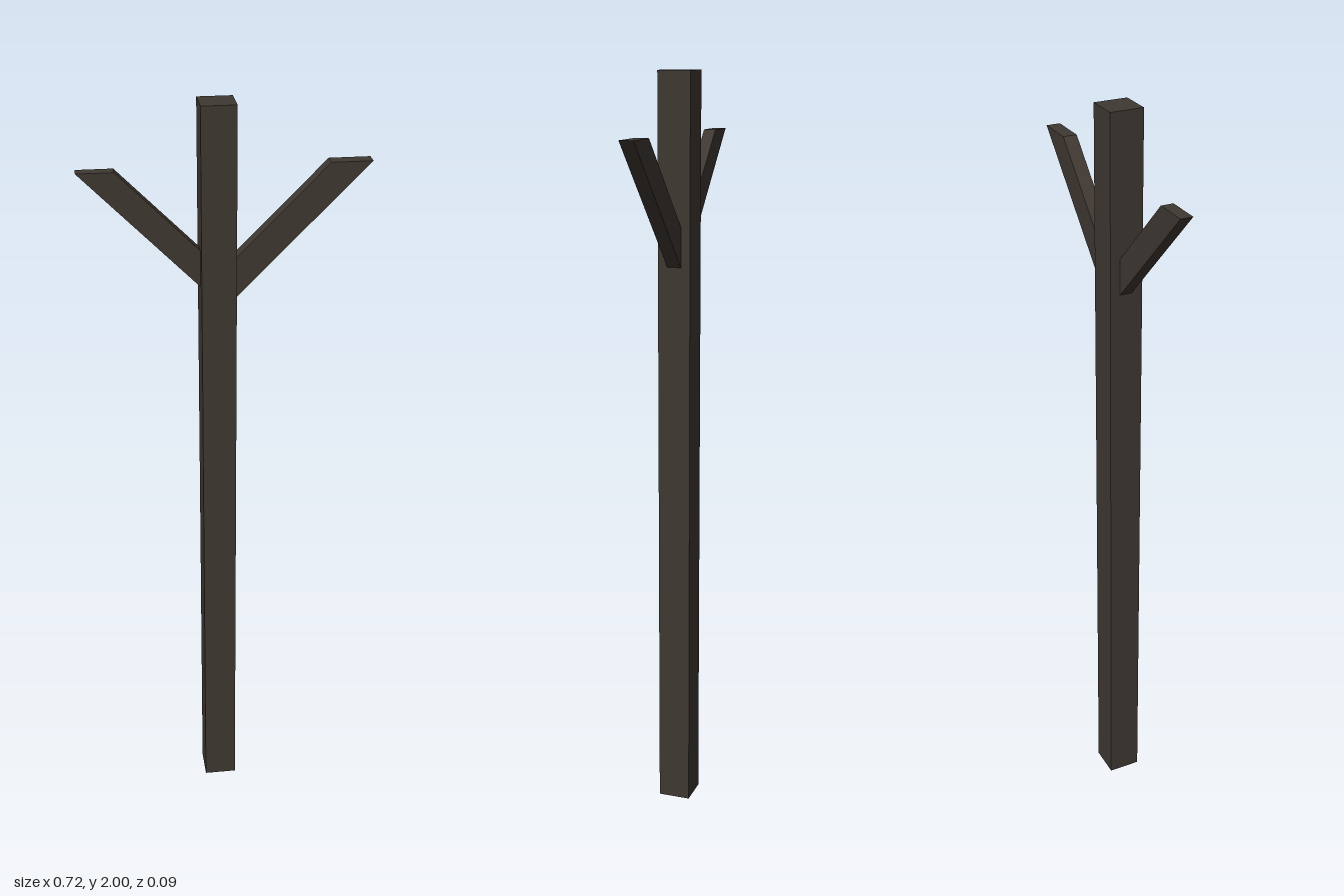
import * as THREE from 'three';

export function createModel() {
  const group = new THREE.Group();
  group.name = 'bareTree';
  const bark = new THREE.MeshStandardMaterial({ color: 0x3f3832, flatShading: true });
  bark.name = 'dark bark';

  // Square trunk
  const trunk = new THREE.Mesh(new THREE.BoxGeometry(0.087, 2, 0.087), bark);
  trunk.name = 'trunk';
  trunk.position.set(-0.021, 1, -0.001);
  group.add(trunk);

  // Slanted branch with a level tip, cut upright where it meets the trunk
  function addBranch(name, outline, depth, z) {
    const shape = new THREE.Shape(outline.map(([x, y]) => new THREE.Vector2(x, y)));
    const geometry = new THREE.ExtrudeGeometry(shape, { depth, bevelEnabled: false });
    geometry.translate(0, 0, z - depth / 2);
    const branch = new THREE.Mesh(geometry, bark);
    branch.name = name;
    group.add(branch);
  }
  addBranch('leftBranch', [[0.015, 1.502], [0.357, 1.847], [0.254, 1.847], [0.015, 1.606]], 0.037, -0.0015);
  addBranch('rightBranch', [[-0.057, 1.535], [-0.057, 1.63], [-0.268, 1.842], [-0.36, 1.842]], 0.032, -0.002);

  return group;
}
